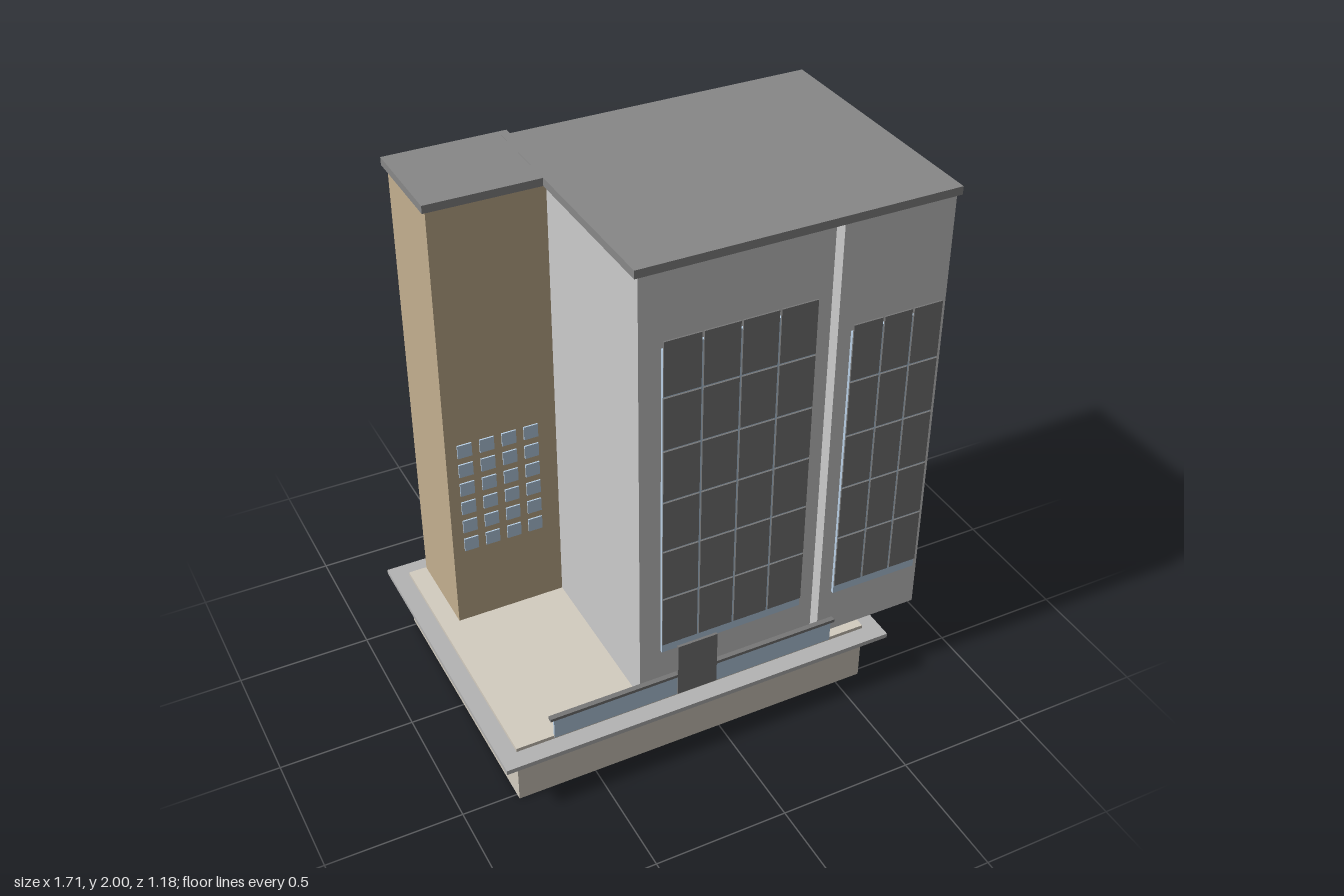
import * as THREE from 'three';

const mat = (color) => new THREE.MeshStandardMaterial({ color });
const wall = mat(0xcccccc);
const tan = mat(0xc4b090);
const stone = mat(0xd4cdc0);
const ledgeGrey = mat(0xb4b4b4);
const roofGrey = mat(0x888888);
const dark = mat(0x777777);
const glass = mat(0xb9d0e6);

// Box given by its limits on each axis
function block(name, material, [x0, x1], [y0, y1], [z0, z1]) {
  const mesh = new THREE.Mesh(new THREE.BoxGeometry(x1 - x0, y1 - y0, z1 - z0), material);
  mesh.position.set((x0 + x1) / 2, (y0 + y1) / 2, (z0 + z1) / 2);
  mesh.name = name;
  return mesh;
}

// Glazed sheet with a grid of dark panels standing in front of it
function curtainWall(name, [x0, x1], glassTop, panelTop, cols, rows) {
  const group = new THREE.Group();
  group.name = name;
  group.add(block('glassSheet', glass, [x0, x1], [0.455, glassTop], [0.507, 0.519]));
  const bottom = 0.493, gap = 0.004;
  const w = (x1 - x0) / cols, h = (panelTop - bottom) / rows;
  for (let c = 0; c < cols; c++) {
    for (let r = 0; r < rows; r++) {
      const x = x0 + c * w, y = bottom + r * h;
      group.add(block('darkPanel', dark,
        [x + (c ? gap : 0), x + w - (c < cols - 1 ? gap : 0)],
        [y + (r ? gap : 0), y + h - (r < rows - 1 ? gap : 0)],
        [0.519, 0.525]));
    }
  }
  return group;
}

export function createModel() {
  const model = new THREE.Group();
  model.name = 'officeTower';

  // Podium and the thin ledge around it
  model.add(block('podium', stone, [-0.795, 0.6], [0, 0.245], [-0.525, 0.522]));
  model.add(block('podiumLedge', ledgeGrey, [-0.86, 0.667], [0.213, 0.231], [-0.593, 0.59]));

  // Two grey towers with an open slot between them, and the tan wing
  model.add(block('mainTower', wall, [-0.305, 0.39], [0.245, 1.97], [-0.485, 0.488]));
  model.add(block('leftTower', wall, [0.422, 0.842], [0.248, 1.97], [-0.485, 0.488]));
  model.add(block('tanWing', tan, [-0.725, -0.305], [0.245, 1.97], [-0.522, -0.178]));

  // Flat roofs
  model.add(block('mainRoof', roofGrey, [-0.322, 0.855], [1.97, 2], [-0.508, 0.5]));
  model.add(block('wingRoof', roofGrey, [-0.74, -0.29], [1.97, 1.999], [-0.54, -0.162]));

  // Front glazing
  model.add(curtainWall('mainCurtainWall', [-0.235, 0.317], 1.705, 1.738, 4, 6));
  model.add(curtainWall('leftCurtainWall', [0.46, 0.804], 1.57, 1.6, 3, 5));

  // Small square windows on the wing
  const windows = new THREE.Group();
  windows.name = 'wingWindows';
  for (let c = 0; c < 4; c++) {
    for (let r = 0; r < 6; r++) {
      const x = -0.655 + c * 0.084, y = 0.595 + r * 0.083;
      windows.add(block('window', glass, [x - 0.027, x + 0.027], [y - 0.027, y + 0.027], [-0.182, -0.172]));
    }
  }
  model.add(windows);

  // Low entrance screen, its canopy and the door
  model.add(block('entranceGlass', glass, [-0.652, 0.457], [0.235, 0.32], [0.514, 0.523]));
  model.add(block('entranceCanopy', dark, [-0.666, 0.47], [0.319, 0.331], [0.508, 0.528]));
  model.add(block('entranceDoor', dark, [-0.175, -0.02], [0.24, 0.462], [0.516, 0.529]));

  return model;
}
